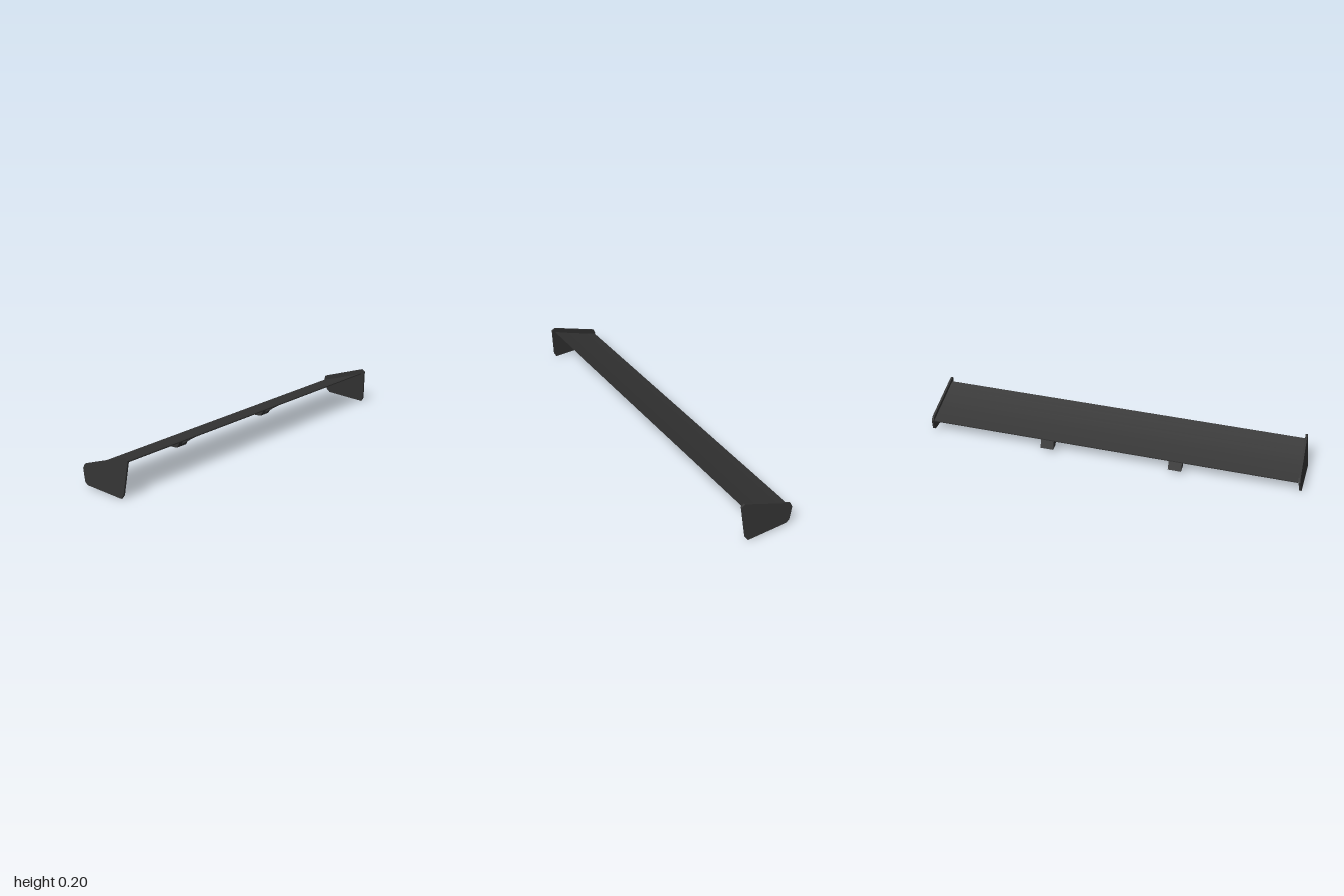
import * as THREE from 'three';

const carbon = new THREE.MeshStandardMaterial({ color: 0x333333 });
carbon.name = 'dark grey';

// Extrudes a side profile of [z, y] points along x, centred on x = 0
function sideProfile(points, width) {
  const shape = new THREE.Shape(points.map(([z, y]) => new THREE.Vector2(z, y)));
  const geo = new THREE.ExtrudeGeometry(shape, { depth: width, bevelEnabled: false });
  geo.translate(0, 0, -width / 2);
  geo.rotateY(-Math.PI / 2);
  return geo;
}

function part(name, geo, x = 0) {
  const mesh = new THREE.Mesh(geo, carbon);
  mesh.name = name;
  mesh.position.x = x;
  return mesh;
}

// Thin tilted blade with a slight sag and tapered edges
function wingProfile() {
  const top = [], bottom = [];
  const steps = 10;
  for (let i = 0; i <= steps; i++) {
    const t = i / steps;
    const z = 0.122 - 0.257 * t;
    const y = 0.171 - 0.085 * t - 0.008 * Math.sin(Math.PI * t);
    const half = 0.003 + 0.004 * Math.sin(Math.PI * t);
    top.push([z, y + half]);
    bottom.unshift([z, y - half]);
  }
  return [...top, ...bottom];
}

// Chamfered end plate, leaning inward towards its top
function endPlate(side) {
  const geo = sideProfile([
    [0.125, 0.198], [0.143, 0.186], [0.128, 0.02], [0.115, 0.001],
    [-0.108, 0.014], [-0.125, 0.028], [-0.142, 0.09], [-0.132, 0.113],
  ], 0.01);
  const p = geo.attributes.position;
  for (let i = 0; i < p.count; i++) {
    p.setX(i, p.getX(i) + side * (0.995 - 0.11 * p.getY(i)));
  }
  geo.computeVertexNormals();
  return geo;
}

// Mount: wedge foot at the rear, a central fin and a flange under the blade
function mount(name, x) {
  const group = new THREE.Group();
  group.name = name;
  group.position.x = x;
  group.add(part('mountFoot', sideProfile([
    [-0.142, 0.032], [-0.122, 0.082], [-0.075, 0.09], [-0.088, 0.052], [-0.1, 0.034],
  ], 0.07)));
  group.add(part('mountFin', sideProfile([
    [-0.1, 0.04], [-0.1, 0.085], [0.03, 0.136], [0.025, 0.122], [-0.05, 0.075],
  ], 0.014)));
  group.add(part('mountFlange', sideProfile([
    [-0.09, 0.082], [-0.09, 0.093], [0.0, 0.122], [0.0, 0.113],
  ], 0.044)));
  return group;
}

export function createModel() {
  const model = new THREE.Group();
  model.name = 'rearWing';
  model.add(part('wingBlade', sideProfile(wingProfile(), 1.956)));
  for (const side of [-1, 1]) {
    const label = side > 0 ? 'left' : 'right';
    model.add(part(label + 'EndPlate', endPlate(side)));
    model.add(mount(label + 'Mount', side * 0.345));
  }
  return model;
}
